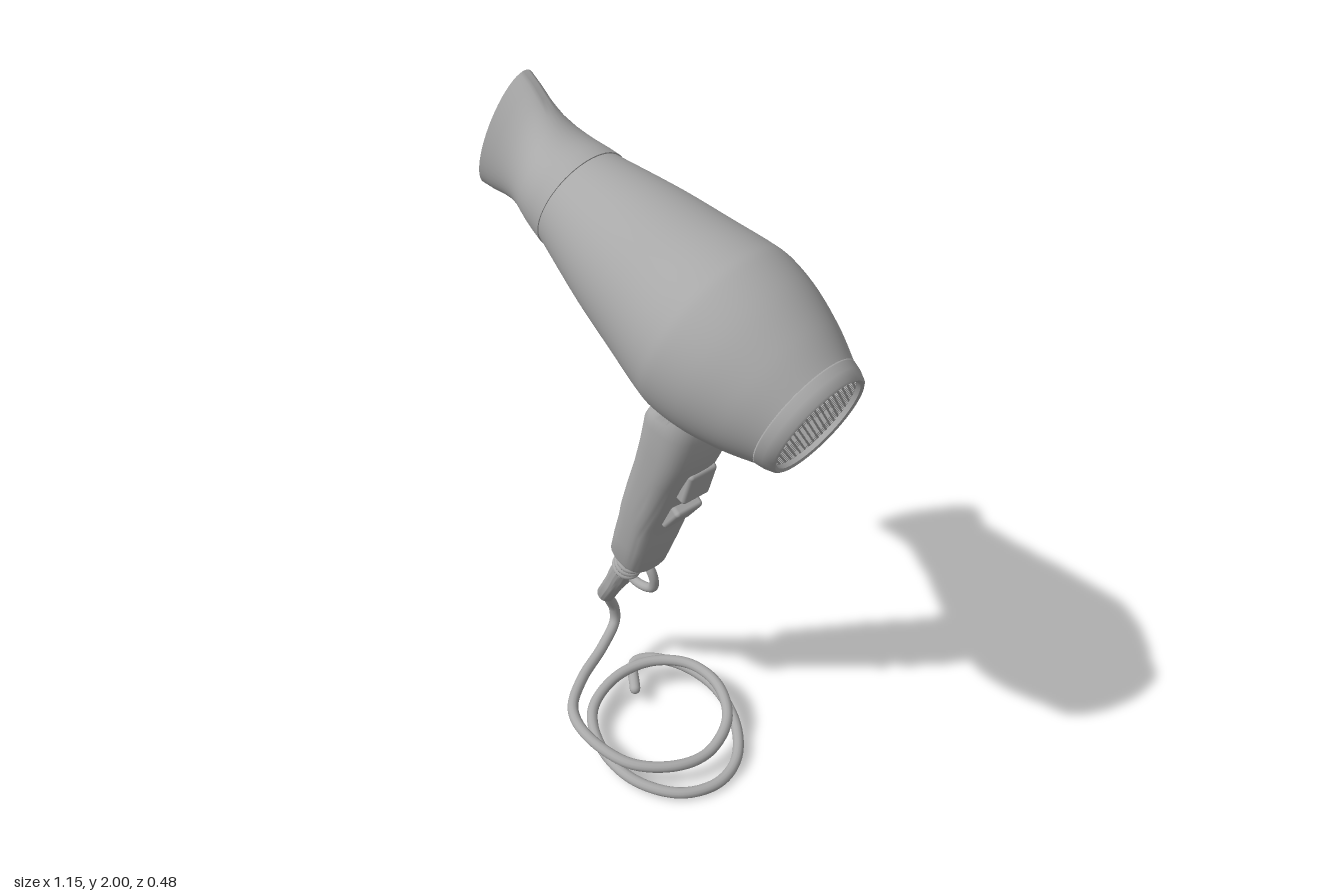
import * as THREE from 'three';
import { toCreasedNormals } from 'three/addons/utils/BufferGeometryUtils.js';
import { RoundedBoxGeometry } from 'three/addons/geometries/RoundedBoxGeometry.js';

const V = (x, y, z) => new THREE.Vector3(x, y, z);
const Y = V(0, 1, 0);

// Skin through closed sections; each is { c: centre, u, v: half axes }, p sets squareness
function loft(sections, p = 2, n = 48) {
  const pos = [], idx = [];
  const pw = a => Math.sign(a) * Math.abs(a) ** (2 / p);
  sections.forEach(({ c, u, v }, i) => {
    for (let j = 0; j < n; j++) {
      const t = (j / n) * Math.PI * 2;
      const q = c.clone().addScaledVector(u, pw(Math.cos(t))).addScaledVector(v, pw(Math.sin(t)));
      pos.push(q.x, q.y, q.z);
      if (i < sections.length - 1) {
        const a = i * n + j, b = i * n + (j + 1) % n;
        idx.push(a, a + n, b, b, a + n, b + n);
      }
    }
  });
  const g = new THREE.BufferGeometry();
  g.setAttribute('position', new THREE.Float32BufferAttribute(pos, 3));
  g.setIndex(idx);
  return toCreasedNormals(g, 0.7);
}

const lathe = pts => new THREE.LatheGeometry(pts.map(([r, y]) => new THREE.Vector2(r, y)), 64);
const tube = (pts, r, seg) =>
  new THREE.TubeGeometry(new THREE.CatmullRomCurve3(pts.map(p => V(...p))), seg, r, 12);

export function createModel() {
  const model = new THREE.Group();
  const grey = new THREE.MeshStandardMaterial({ color: 0xaaaaaa });
  grey.name = 'grey plastic';
  grey.side = THREE.DoubleSide;
  const add = (parent, name, geo, x = 0, y = 0, z = 0) => {
    const m = new THREE.Mesh(geo, grey);
    m.name = name;
    m.position.set(x, y, z);
    parent.add(m);
    return m;
  };

  // Barrel assembly: local +y runs from the nozzle tip to the air intake
  const barrel = new THREE.Group();
  barrel.name = 'barrel';
  barrel.position.set(-0.505, 1.835, 0.065);
  barrel.quaternion.setFromUnitVectors(Y, V(1.03, -0.415, -0.1).normalize());
  model.add(barrel);

  const profile = new THREE.SplineCurve([
    [0.13, 0.25], [0.143, 0.3], [0.184, 0.47], [0.213, 0.62], [0.234, 0.73], [0.239, 0.79],
    [0.227, 0.88], [0.197, 0.98], [0.163, 1.06],
  ].map(p => new THREE.Vector2(...p)));
  add(barrel, 'body shell', new THREE.LatheGeometry(profile.getPoints(48), 64));
  add(barrel, 'air outlet', lathe([[0, 0.25], [0.13, 0.25]]));

  // Rear cap with a recessed grille
  add(barrel, 'rear cap', toCreasedNormals(lathe([
    [0.155, 1.058], [0.163, 1.063], [0.158, 1.085], [0.148, 1.108], [0.142, 1.112],
    [0.134, 1.108], [0.132, 1.085],
  ]), 0.7));
  add(barrel, 'grille backing', lathe([[0.135, 1.088], [0, 1.088]]));
  const grille = new THREE.Group();
  grille.name = 'grille';
  barrel.add(grille);
  for (const a of [Math.PI / 4, -Math.PI / 4]) {
    for (let i = -9; i <= 9; i++) {
      const o = i * 0.0138;
      const bar = add(grille, 'grille bar',
        new THREE.BoxGeometry(2 * Math.sqrt(0.133 ** 2 - o * o), 0.008, 0.005),
        Math.sin(a) * o, 1.092, Math.cos(a) * o);
      bar.rotation.y = a;
    }
  }

  // Hollow concentrator nozzle: round sleeve narrowing to a tall flared slot
  const nozzle = [ // distance along the barrel, half height, half width
    [0.23, 0.115, 0.112], [0.16, 0.118, 0.09], [0.08, 0.138, 0.058], [0, 0.165, 0.058],
    [0, 0.178, 0.07], [0.04, 0.168, 0.069], [0.08, 0.153, 0.072], [0.12, 0.14, 0.084],
    [0.16, 0.132, 0.104], [0.19, 0.13, 0.12], [0.22, 0.132, 0.131], [0.25, 0.138, 0.137],
    [0.285, 0.143, 0.142], [0.287, 0.13, 0.13],
  ];
  add(barrel, 'nozzle', loft(nozzle.map(([t, h, w]) => ({ c: V(0, t, 0), u: V(h, 0, 0), v: V(0, 0, w) }))));

  // Handle: front edge point, rear edge point, centre z, half width
  const rows = [
    [-0.142, 0.622, -0.14, 0.622, -0.045, 0.001],
    [-0.208, 0.638, -0.076, 0.605, -0.045, 0.07],
    [-0.21, 0.65, -0.068, 0.617, -0.045, 0.075],
    [-0.18, 0.73, -0.03, 0.71, -0.042, 0.086],
    [-0.15, 0.81, -0.002, 0.78, -0.04, 0.092],
    [-0.135, 0.86, 0.012, 0.82, -0.038, 0.095],
    [-0.1, 0.96, 0.055, 0.91, -0.035, 0.098],
    [-0.06, 1.06, 0.105, 1.02, -0.03, 0.101],
    [-0.03, 1.15, 0.152, 1.11, -0.025, 0.104],
    [-0.005, 1.235, 0.185, 1.215, -0.02, 0.106],
    [0.015, 1.265, 0.185, 1.26, -0.02, 0.104],
    [0.048, 1.285, 0.177, 1.282, -0.02, 0.097],
    [0.062, 1.31, 0.19, 1.298, -0.016, 0.1],
    [0.04, 1.38, 0.27, 1.32, -0.01, 0.13],
  ];
  add(model, 'handle', loft(rows.map(([lx, ly, rx, ry, z, w]) => ({
    c: V((lx + rx) / 2, (ly + ry) / 2, z),
    u: V((rx - lx) / 2, (ry - ly) / 2, 0),
    v: V(0, 0, w),
  })), 2.7));

  // Two rocker switches at the rear and a round button at the front
  add(model, 'upper switch', new RoundedBoxGeometry(0.06, 0.115, 0.095, 3, 0.012), 0.098, 1.03, -0.035)
    .rotation.z = -0.3;
  add(model, 'lower switch', new RoundedBoxGeometry(0.055, 0.1, 0.095, 3, 0.012), 0.038, 0.893, -0.038)
    .rotation.z = -0.65;
  add(model, 'cool button', new THREE.CylinderGeometry(0.024, 0.026, 0.07, 24), 0.008, 1.262, -0.02)
    .rotation.z = Math.PI / 2 - 0.3;

  // Strain relief: ribbed collar and tapered sleeve
  const relief = new THREE.Group();
  relief.name = 'strain relief';
  relief.position.set(-0.145, 0.625, -0.045);
  relief.quaternion.setFromUnitVectors(Y, V(-0.17, -0.285, -0.013).normalize());
  model.add(relief);
  add(relief, 'sleeve', toCreasedNormals(lathe([
    [0.036, 0], [0.033, 0.12], [0.038, 0.125], [0.036, 0.17], [0.03, 0.24], [0.028, 0.328],
    [0.024, 0.334], [0, 0.334],
  ]), 0.7));
  for (let i = 0; i < 5; i++) {
    add(relief, 'rib', new THREE.TorusGeometry(0.037, 0.008, 8, 32), 0, 0.022 + i * 0.022, 0)
      .rotation.x = Math.PI / 2;
  }

  // Hanging loop
  add(model, 'hanging loop', tube([
    [-0.13, 0.61, -0.04], [-0.095, 0.6, -0.042], [-0.08, 0.565, -0.048], [-0.088, 0.52, -0.055],
    [-0.12, 0.495, -0.058], [-0.165, 0.488, -0.056], [-0.2, 0.5, -0.053],
  ], 0.014, 40));

  // Coiled power cable
  const cable = [
    [-0.305, 0.36, -0.057], [-0.328, 0.3, -0.08], [-0.335, 0.24, -0.105], [-0.328, 0.19, -0.1],
    [-0.295, 0.15, -0.02], [-0.245, 0.13, 0.1], [-0.17, 0.12, 0.195], [-0.07, 0.108, 0.222],
    [0.08, 0.085, 0.185], [0.17, 0.073, 0.08], [0.19, 0.07, -0.03], [0.14, 0.09, -0.15],
    [0.03, 0.112, -0.21], [-0.09, 0.118, -0.2], [-0.18, 0.112, -0.12], [-0.21, 0.095, 0],
    [-0.17, 0.068, 0.12], [-0.05, 0.045, 0.185], [0.1, 0.03, 0.185], [0.22, 0.02, 0.11],
    [0.262, 0.017, 0], [0.235, 0.025, -0.1], [0.14, 0.045, -0.185], [0, 0.07, -0.225],
    [-0.13, 0.085, -0.2], [-0.22, 0.085, -0.14], [-0.235, 0.08, -0.1], [-0.16, 0.06, -0.04],
  ];
  add(model, 'power cable', tube(cable, 0.0165, 260));
  const end = cable[cable.length - 1];
  add(model, 'cable end', new THREE.SphereGeometry(0.0165, 12, 8), ...end);

  return model;
}
